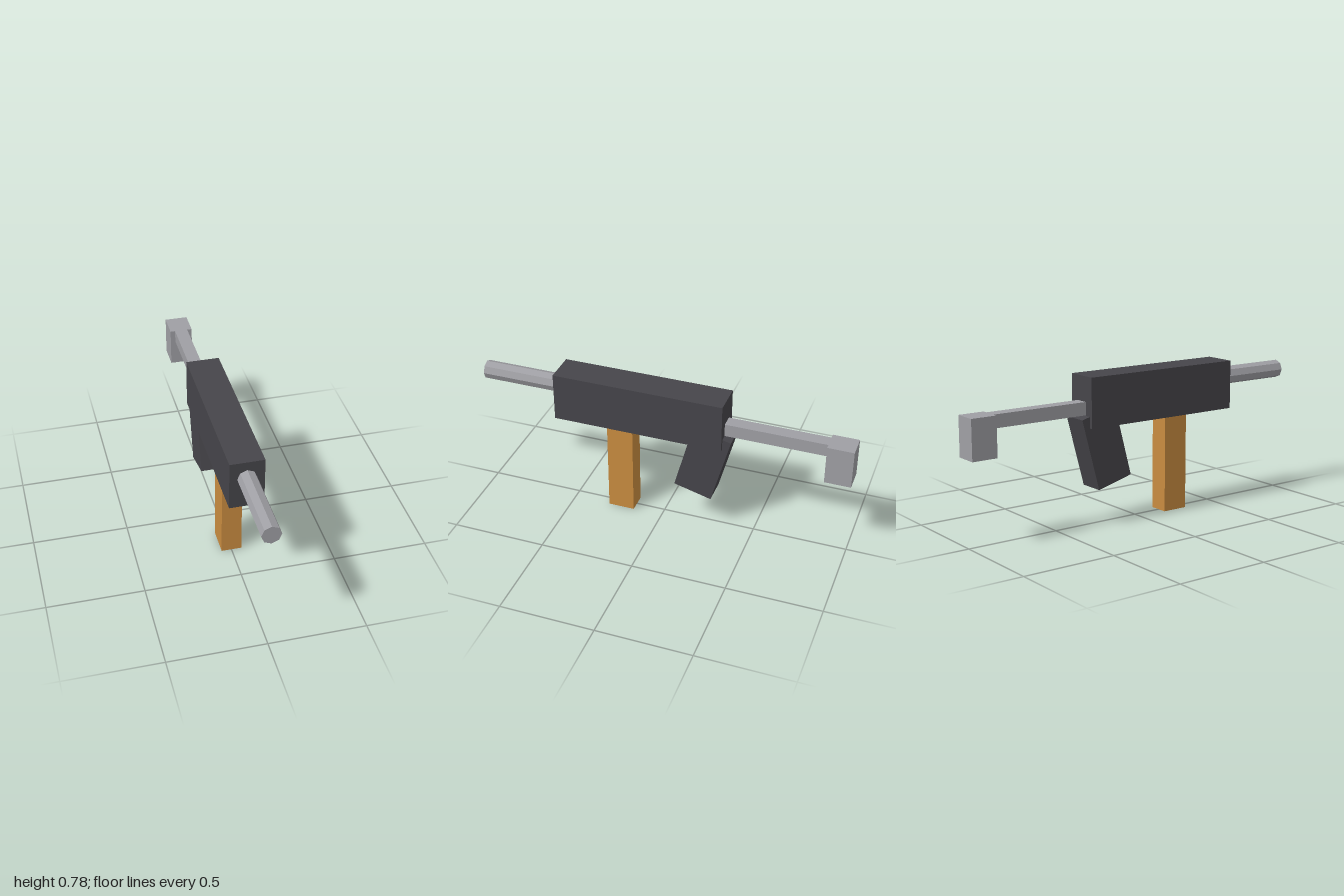
import * as THREE from 'three';

export function createModel() {
  const model = new THREE.Group();
  const material = (name, color) => {
    const m = new THREE.MeshStandardMaterial({ color, flatShading: true });
    m.name = name;
    return m;
  };
  const darkMetal = material('darkMetal', 0x46454a);
  const paleMetal = material('paleMetal', 0x9f9fa4);
  const wood = material('wood', 0xc98c40);

  const add = (name, geometry, mat, y, z) => {
    const mesh = new THREE.Mesh(geometry, mat);
    mesh.name = name;
    mesh.position.set(0, y, z);
    model.add(mesh);
    return mesh;
  };
  // Box centred on x, given by its width and its y and z ranges
  const box = (name, mat, width, y0, y1, z0, z1) =>
    add(name, new THREE.BoxGeometry(width, y1 - y0, z1 - z0), mat, (y0 + y1) / 2, (z0 + z1) / 2);

  // Main body
  box('receiver', darkMetal, 0.175, 0.52, 0.78, -0.333, 0.58);

  // Octagonal barrel, a corner pointing up
  const barrel = new THREE.CylinderGeometry(0.049, 0.049, 0.44, 8).rotateX(Math.PI / 2);
  add('barrel', barrel, paleMetal, 0.686, 0.78);

  // Straight magazine under the body
  box('magazine', wood, 0.106, 0, 0.53, 0.16, 0.301);

  // Grip, its top leaning backwards
  const grip = add('grip', new THREE.BoxGeometry(0.14, 0.388, 0.207), darkMetal, 0.406, -0.2285);
  grip.rotation.x = -0.26;

  // Stock: rod and butt
  box('stockRod', paleMetal, 0.07, 0.582, 0.65, -0.87, -0.32);
  box('stockButt', paleMetal, 0.122, 0.442, 0.65, -1, -0.863);

  return model;
}
